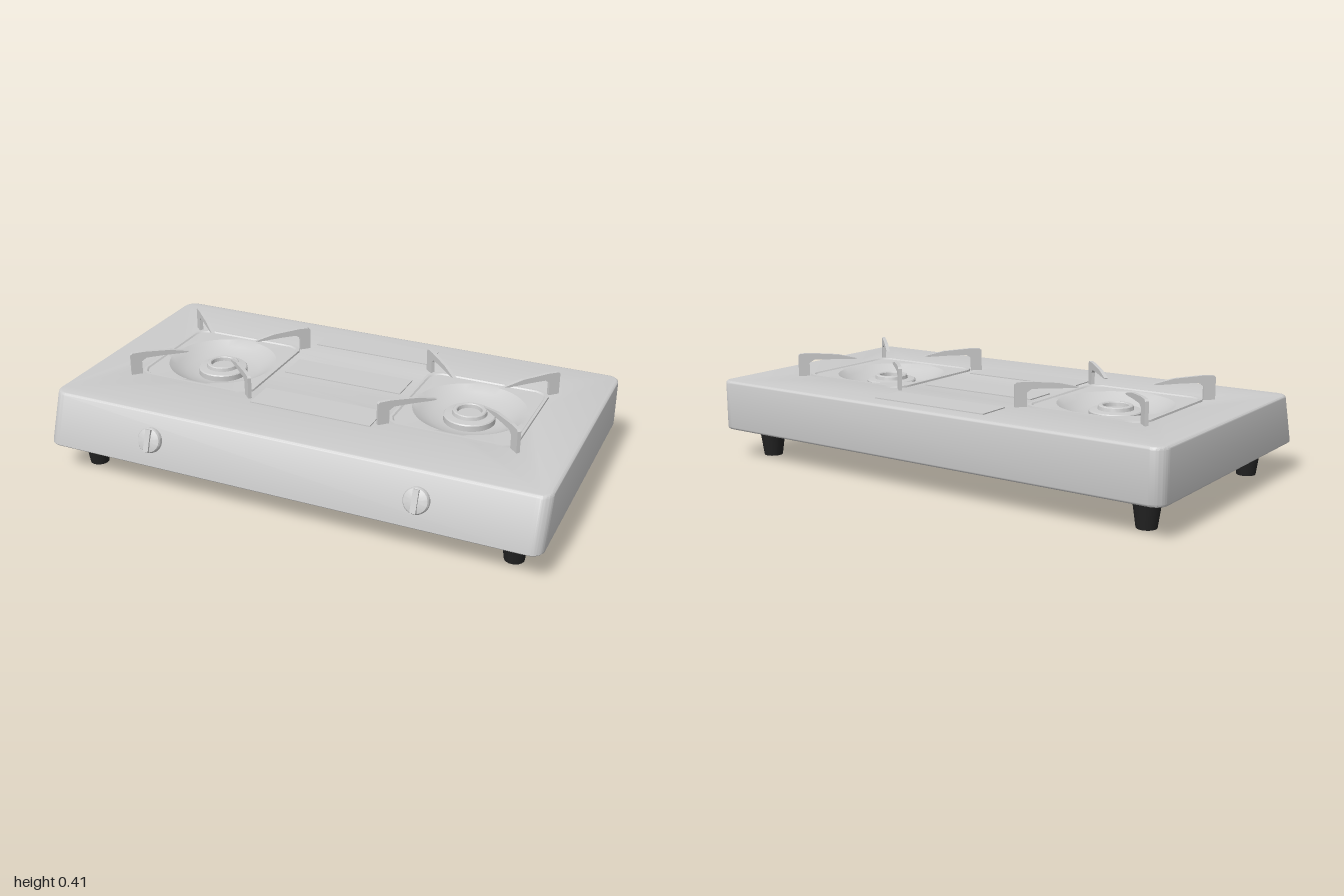
import * as THREE from 'three';
import { toCreasedNormals } from 'three/addons/utils/BufferGeometryUtils.js';

const BURNER_X = 0.537, BURNER_Z = -0.04, SLOPE = 0.36;
const grey = new THREE.MeshStandardMaterial({ color: 0xcccccc });
const greyDouble = new THREE.MeshStandardMaterial({ color: 0xcccccc, side: THREE.DoubleSide });
const black = new THREE.MeshStandardMaterial({ color: 0x222222 });

function add(parent, name, geometry, material = grey, x = 0, y = 0, z = 0) {
  const mesh = new THREE.Mesh(geometry, material);
  mesh.name = name;
  mesh.position.set(x, y, z);
  parent.add(mesh);
  return mesh;
}

function lathe(points, segments = 48) {
  const profile = points.map(([r, y]) => new THREE.Vector2(r, y));
  return toCreasedNormals(new THREE.LatheGeometry(profile, segments), 0.6);
}

// Rounded housing with burner openings and a front that leans back
function bodyGeometry() {
  const w = 1, d = 0.56, r = 0.05, h = 0.2, bevel = 0.01;
  const shape = new THREE.Shape();
  shape.absarc(w - r, d - r, r, 0, Math.PI / 2);
  shape.absarc(-w + r, d - r, r, Math.PI / 2, Math.PI);
  shape.absarc(-w + r, -d + r, r, Math.PI, Math.PI * 1.5);
  shape.absarc(w - r, -d + r, r, Math.PI * 1.5, Math.PI * 2);
  for (const side of [-1, 1]) {
    const hole = new THREE.Path();
    hole.absarc(side * BURNER_X, -BURNER_Z, 0.22, 0, Math.PI * 2, true);
    shape.holes.push(hole);
  }
  const geo = new THREE.ExtrudeGeometry(shape, {
    depth: h - 2 * bevel, bevelThickness: bevel, bevelSize: bevel,
    bevelOffset: -bevel, bevelSegments: 3, curveSegments: 12,
  });
  geo.rotateX(-Math.PI / 2).translate(0, 0.12 + bevel, 0);
  const p = geo.attributes.position;
  for (let i = 0; i < p.count; i++) {
    if (p.getZ(i) > 0.4) p.setZ(i, p.getZ(i) - SLOPE * (p.getY(i) - 0.12));
  }
  return toCreasedNormals(geo, 0.6);
}

// Drip pan: square raised rim blending into a round bowl
function panGeometry() {
  const n = 64;
  // [size, height, squareness]
  const rings = [
    [0.252, 0.318, 1], [0.25, 0.327, 1], [0.24, 0.327, 1], [0.235, 0.322, 1],
    [0.22, 0.32, 0], [0.19, 0.3, 0], [0.15, 0.281, 0], [0.1, 0.27, 0], [0.001, 0.268, 0],
  ];
  const positions = [], index = [];
  rings.forEach(([size, y, square], k) => {
    for (let i = 0; i < n; i++) {
      const a = (i / n) * Math.PI * 2, c = Math.cos(a), s = Math.sin(a);
      const r = square ? Math.min(size / Math.max(Math.abs(c), Math.abs(s)), size * 1.33) : size;
      positions.push(r * c, y, r * s);
      if (k === 0) continue;
      const j = (i + 1) % n, o = (k - 1) * n, q = k * n;
      index.push(o + i, q + i, o + j, o + j, q + i, q + j);
    }
  });
  const geo = new THREE.BufferGeometry();
  geo.setAttribute('position', new THREE.Float32BufferAttribute(positions, 3));
  geo.setIndex(index);
  return toCreasedNormals(geo, 0.5);
}

// Hooked pot-support blade, drawn as distance from the burner axis against height
function bladeGeometry() {
  const outline = [
    [0.382, 0.315], [0.382, 0.405], [0.374, 0.412], [0.33, 0.413], [0.22, 0.405], [0.141, 0.387],
    [0.155, 0.383], [0.25, 0.386], [0.318, 0.386], [0.337, 0.373], [0.337, 0.315],
  ];
  const shape = new THREE.Shape(outline.map(([x, y]) => new THREE.Vector2(x, y)));
  const geo = new THREE.ExtrudeGeometry(shape, { depth: 0.014, bevelEnabled: false });
  return geo.translate(0, 0, -0.007);
}

function createBurner() {
  const burner = new THREE.Group();
  burner.name = 'burner';
  add(burner, 'dripPan', panGeometry(), greyDouble);
  add(burner, 'burnerHead', lathe([
    [0.1, 0.262], [0.1, 0.292], [0.096, 0.296], [0.068, 0.299], [0.065, 0.312],
    [0.061, 0.315], [0.051, 0.315], [0.048, 0.312], [0.046, 0.298], [0, 0.298],
  ]));
  const blade = bladeGeometry();
  for (let i = 0; i < 4; i++) {
    add(burner, 'potSupport', blade).rotation.y = Math.PI / 4 + (i * Math.PI) / 2;
  }
  return burner;
}

// Round dial with a raised grip bar, axis along local y
function createKnob() {
  const knob = new THREE.Group();
  knob.name = 'knob';
  add(knob, 'knobDial', lathe([
    [0.049, -0.01], [0.049, 0.014], [0.045, 0.02], [0.03, 0.024], [0, 0.026],
  ], 32));
  add(knob, 'knobGrip', new THREE.BoxGeometry(0.022, 0.022, 0.086), grey, 0, 0.021, 0);
  return knob;
}

export function createModel() {
  const model = new THREE.Group();
  model.name = 'gasStove';
  add(model, 'body', bodyGeometry());

  for (const side of [-1, 1]) {
    const burner = createBurner();
    burner.position.set(side * BURNER_X, 0, BURNER_Z);
    model.add(burner);

    // Closes the underside beneath the burner opening
    add(model, 'bottomCover', new THREE.CylinderGeometry(0.235, 0.235, 0.004, 48),
      grey, side * BURNER_X, 0.1215, BURNER_Z);

    const knob = createKnob();
    knob.position.set(side * 0.54, 0.22, 0.56 - SLOPE * 0.1);
    knob.rotation.x = Math.PI / 2 - Math.atan(SLOPE);
    model.add(knob);

    for (const z of [-0.41, 0.41]) {
      add(model, 'foot', new THREE.CylinderGeometry(0.055, 0.037, 0.125, 24),
        black, side * 0.87, 0.0625, z);
    }
  }

  // Thin raised panels between the burners
  for (const z of [-0.413, -0.108, 0.193]) {
    add(model, 'centrePanel', new THREE.BoxGeometry(0.5, 0.008, 0.136), grey, 0, 0.32, z);
  }
  return model;
}
